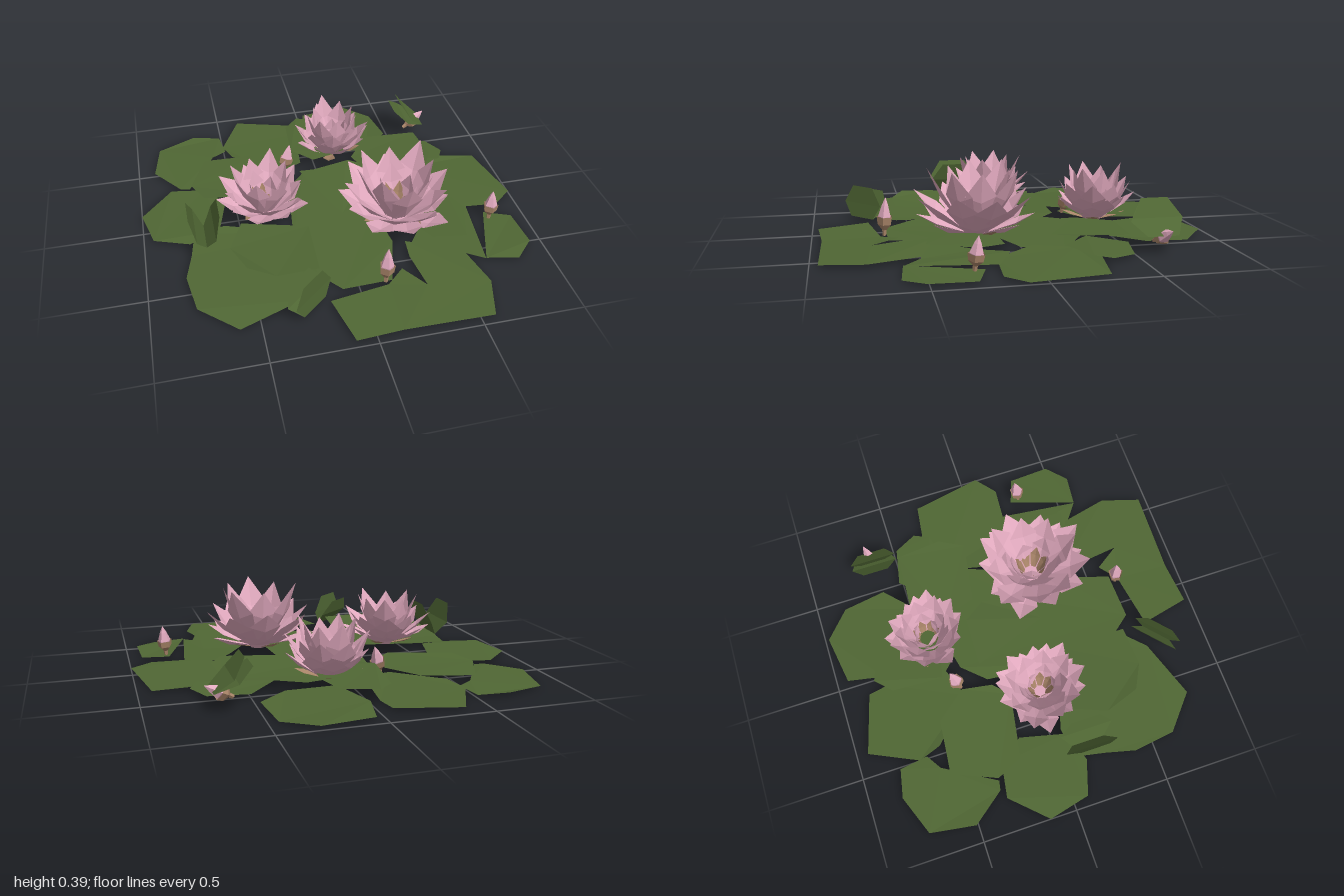
import * as THREE from 'three';

const mat = (name, color) => {
  const m = new THREE.MeshStandardMaterial({ color, flatShading: true, side: THREE.DoubleSide });
  m.name = name;
  return m;
};

export function createModel() {
  const root = new THREE.Group();
  root.name = 'waterLilies';
  const green = mat('leafGreen', 0x506734);
  const pink = mat('petalPink', 0xe2aabf);
  const tan = mat('stamenTan', 0xa88468);

  const add = (parent, name, geo, material) => {
    const m = new THREE.Mesh(geo, material);
    m.name = name;
    parent.add(m);
    return m;
  };
  const fromFaces = (verts, faces) => {
    const g = new THREE.BufferGeometry();
    g.setAttribute('position', new THREE.Float32BufferAttribute(verts.flat(), 3));
    g.setIndex(faces.flat());
    const flat = g.toNonIndexed();
    flat.computeVertexNormals();
    return flat;
  };

  // Floating pads: outline in hundredths (x, z), height and slope, with a slight wave along the rim
  const pad = (name, y, slopeX, slopeZ, outline) => {
    const pts = outline.map(([x, z]) => new THREE.Vector2(x / 100, -z / 100));
    const c = pts.reduce((s, p) => s.add(p), new THREE.Vector2()).divideScalar(pts.length);
    const g = new THREE.ShapeGeometry(new THREE.Shape(pts));
    g.rotateX(-Math.PI / 2);
    const p = g.attributes.position;
    for (let i = 0; i < p.count; i++) {
      const dx = p.getX(i) - c.x, dz = p.getZ(i) + c.y;
      p.setY(i, y + slopeX * dx + slopeZ * dz + 0.006 * Math.sin(3 * Math.atan2(dz, dx)));
    }
    g.computeVertexNormals();
    add(root, name, g, green);
  };
  pad('backLeftPad', 0.042, 0.01, 0, [[-91, -51], [-87, -75], [-66, -83], [-51, -80], [-49, -65], [-57, -60], [-73, -33], [-78, -34]]);
  pad('backPad', 0.046, 0, 0.02, [[-38, -94], [-7, -85], [-5, -74], [-8, -42], [-24, -36], [-46, -57], [-50, -69]]);
  pad('backRightPad', 0.043, -0.02, 0.01, [[4, -94], [30, -98], [45, -85], [48, -62], [33, -48], [8, -50], [0, -75]]);
  pad('raisedBackPad', 0.118, 0, 0.03, [[-11, -72], [-3, -80], [14, -74], [19, -58], [17, -38], [-2, -34], [-13, -45]]);
  pad('raisedLeftPad', 0.068, 0.04, 0.02, [[-62, -56], [-34, -53], [-21, -37], [-24, -21], [-32, -13], [-66, -19], [-72, -33]]);
  pad('raisedFrontLeftPad', 0.125, -0.06, 0.06, [[-50, 13], [-16, 20], [-18, 56], [-39, 57], [-52, 50], [-58, 32]]);
  pad('raisedRightPad', 0.122, 0.03, 0, [[33, -50], [62, -48], [64, -24], [57, -11], [25, -16], [20, -33]]);
  pad('raisedFrontRightPad', 0.112, 0.03, 0.04, [[44, 12], [62, 12], [67, 25], [60, 48], [43, 45], [36, 32]]);
  pad('raisedCentrePad', 0.122, -0.03, -0.03, [[-12, -24], [14, -23], [22, -12], [19, 8], [3, 16]]);
  pad('rightPad', 0.042, -0.02, 0, [[70, -32], [93, -29], [100, 9], [89, 18], [62, 16], [45, -5], [50, -25]]);
  pad('frontRightPad', 0.046, 0, 0, [[72, 16], [67, 59], [55, 50], [30, 45], [46, 22], [55, 8]]);
  pad('rearRightPad', 0.052, 0, 0, [[50, -52], [70, -48], [76, -36], [72, -28], [50, -20], [35, -35]]);
  pad('centrePad', 0.038, 0, 0, [[-19, -22], [-8, -34], [20, -40], [50, -20], [42, 0], [22, 8], [25, 35], [17, 62], [-8, 63], [-21, 47], [-24, 20]]);
  pad('smallRightPad', 0.04, -0.02, 0, [[79, 24], [93, 29], [94, 51], [84, 61], [67, 59]]);
  pad('leftPad', 0.044, 0.02, 0, [[-100, -14], [-83, -32], [-65, -29], [-55, -16], [-61, 8], [-77, 14], [-95, 8]]);
  pad('frontLeftPad', 0.048, 0, -0.02, [[-74, 8], [-77, 24], [-81, 40], [-78, 62], [-60, 78], [-29, 67], [-18, 56], [-18, 19], [-58, 6]]);
  pad('frontPad', 0.05, 0, -0.05, [[-16, 71], [14, 66], [23, 58], [32, 71], [29, 51], [30, 40], [57, 50], [63, 75], [57, 96], [13, 95], [-10, 97]]);

  // Young leaves folded along one line, each half a bent sheet
  const foldedLeaf = (name, pos, yaw, len, height, angles) => {
    const leaf = new THREE.Group();
    leaf.name = name;
    leaf.position.set(...pos);
    leaf.rotation.y = yaw;
    for (const deg of angles) {
      const a = THREE.MathUtils.degToRad(deg);
      const rows = [[0, 0.32, 0], [0.45, 0.52, 0.03], [1, 0.28, 0]];
      const verts = rows.flatMap(([t, w, bulge]) => [-1, 1].map(s =>
        [Math.cos(a) * (height * t + bulge), Math.sin(a) * height * t, s * w * len]));
      add(leaf, 'leafHalf', fromFaces(verts, [[0, 1, 2], [1, 3, 2], [2, 3, 4], [3, 5, 4]]), green);
    }
    root.add(leaf);
  };
  foldedLeaf('foldedLeafBack', [0.7, 0.125, -0.62], 0, 0.24, 0.21, [132, 148]);
  foldedLeaf('foldedLeafLeft', [-0.69, 0.1, 0.17], 0, 0.27, 0.19, [66, 114]);
  foldedLeaf('foldedLeafFront', [-0.24, 0.06, 0.74], 2.3, 0.26, 0.17, [58, 86]);

  // Broad pointed petal with a shallow keel that bulges outward (+z)
  const petalGeometry = (len, w) => fromFaces([
    [-0.22 * w, 0, 0], [0.22 * w, 0, 0],
    [-0.5 * w, 0.62 * len, 0], [0, 0.55 * len, 0.13 * w], [0.5 * w, 0.62 * len, 0],
    [0, len, 0],
  ], [[0, 1, 3], [0, 3, 2], [1, 4, 3], [2, 3, 5], [3, 4, 5]]);

  // Rings: count, base radius, lean in degrees, length, width
  const rings = [
    [9, 0.06, 68, 0.26, 0.16],
    [9, 0.06, 48, 0.31, 0.17],
    [8, 0.05, 26, 0.36, 0.16],
    [5, 0.045, 14, 0.24, 0.12],
  ];
  const flower = (name, pos, scale, leanScale, turn) => {
    const f = new THREE.Group();
    f.name = name;
    f.position.set(...pos);
    f.rotation.y = turn;
    f.scale.setScalar(scale);
    const place = (mesh, angle, r, lean) => {
      mesh.rotation.set(THREE.MathUtils.degToRad(lean), angle, 0, 'YXZ');
      mesh.position.set(Math.sin(angle) * r, 0, Math.cos(angle) * r);
    };
    rings.forEach(([n, r, lean, len, w], k) => {
      for (let i = 0; i < n; i++) {
        const wobble = Math.sin(i * 2.4 + k * 1.7);
        const petal = add(f, 'petal', petalGeometry(len * (1 + 0.07 * wobble), w), pink);
        place(petal, ((i + k * 0.5) / n) * Math.PI * 2, r, (lean + 5 * wobble) * leanScale);
      }
    });
    // Stamens inside, short sepals and a closed base below
    for (let i = 0; i < 7; i++)
      place(add(f, 'stamen', petalGeometry(0.16, 0.06), tan), (i / 7) * Math.PI * 2, 0.035, 20);
    for (let i = 0; i < 4; i++) {
      const sepal = add(f, 'sepal', petalGeometry(0.17, 0.09), tan);
      place(sepal, (i / 4 + 0.06) * Math.PI * 2, 0.05, 72);
      sepal.position.y = -0.012;
    }
    const base = add(f, 'flowerBase', new THREE.CylinderGeometry(0.075, 0.05, 0.025, 6), pink);
    base.position.y = -0.01;
    root.add(f);
  };
  flower('largeFlower', [0.31, 0.1, 0.2], 0.98, 1, 0);
  flower('leftFlower', [-0.36, 0.11, 0.02], 0.78, 0.95, 0.4);
  flower('backFlower', [0.11, 0.095, -0.46], 0.79, 0.74, 0.9);

  // Closed buds on short stems, wrapped in a cup
  const bud = (name, pos, height, tiltX, tiltZ) => {
    const b = new THREE.Group();
    b.name = name;
    b.position.set(...pos);
    b.rotation.set(tiltX, 0, tiltZ);
    const lathe = pts => new THREE.LatheGeometry(pts.map(([r, y]) => new THREE.Vector2(r, y * height)), 5);
    add(b, 'budPetals', lathe([[0.026, 0.3], [0.034, 0.5], [0.018, 0.78], [0, 1]]), pink);
    add(b, 'budCup', lathe([[0.01, 0], [0.012, 0.15], [0.036, 0.3], [0.041, 0.5]]), tan);
    root.add(b);
  };
  bud('rightBud', [0.8, 0.045, 0.29], 0.165, -0.1, -0.1);
  bud('frontBud', [0.13, 0.05, 0.64], 0.2, -0.05, -0.05);
  bud('backBud', [-0.19, 0.05, -0.37], 0.16, -0.25, -0.3);
  bud('rearRightBud', [0.6, 0.08, -0.61], 0.16, -0.5, -1);

  return root;
}
